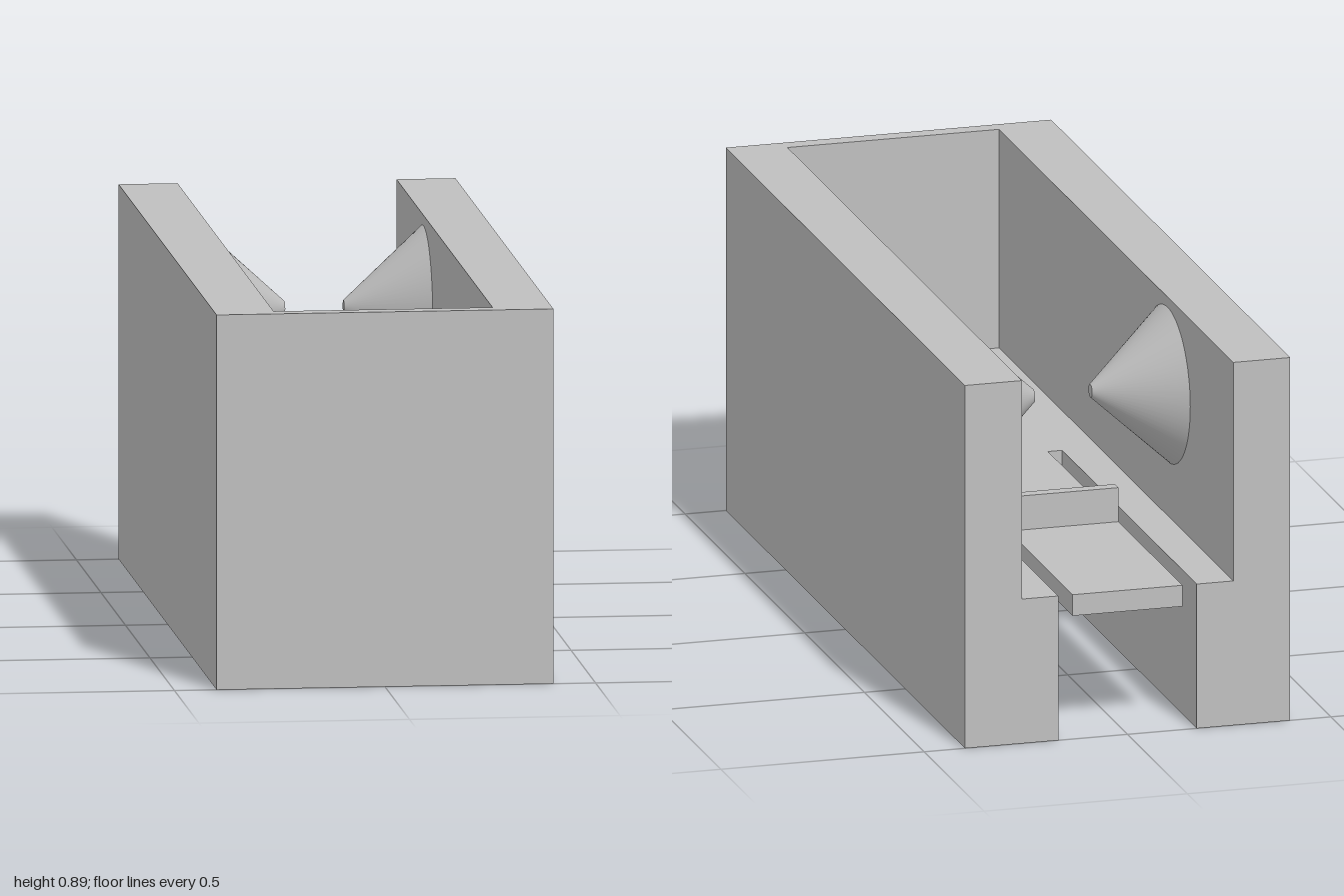
import * as THREE from 'three';

const FLOOR = 0.356, TOP = 0.895, SLOT_END = 0.125;

// U-shaped block, open towards the back, standing from y0 to y1
function uBlock(halfGap, gapEnd, y0, y1) {
  const pts = [
    [-0.4, -1], [0.4, -1], [0.4, 1], [halfGap, 1],
    [halfGap, -gapEnd], [-halfGap, -gapEnd], [-halfGap, 1], [-0.4, 1],
  ].map(([x, y]) => new THREE.Vector2(x, y));
  const geo = new THREE.ExtrudeGeometry(new THREE.Shape(pts), { depth: y1 - y0, bevelEnabled: false });
  return geo.rotateX(-Math.PI / 2).translate(0, y0, 0);
}

export function createModel() {
  const group = new THREE.Group();
  const grey = new THREE.MeshStandardMaterial({ color: 0xbfbfbf });
  grey.name = 'light grey';

  const add = (name, geo) => {
    const mesh = new THREE.Mesh(geo, grey);
    mesh.name = name;
    group.add(mesh);
    return mesh;
  };

  // Thick floor with a slot from the back, and the walls above it
  add('base', uBlock(0.17, SLOT_END, 0, FLOOR));
  add('walls', uBlock(0.26, 0.96, FLOOR, TOP));

  // Springy tongue in the slot, with a ramped catch on top
  const profile = new THREE.Shape([
    [-1, 0.304], [SLOT_END, 0.304], [SLOT_END, FLOOR],
    [-0.37, FLOOR], [-0.435, 0.44], [-0.465, 0.44], [-0.465, FLOOR], [-1, FLOOR],
  ].map(([z, y]) => new THREE.Vector2(z, y)));
  const tongue = new THREE.ExtrudeGeometry(profile, { depth: 0.27, bevelEnabled: false });
  add('latchTongue', tongue.rotateY(-Math.PI / 2).translate(0.135, 0, 0));

  // Pair of blunt cones pointing inwards from the side walls
  for (const side of [1, -1]) {
    const cone = new THREE.CylinderGeometry(0.016, 0.19, 0.19, 64);
    cone.rotateZ(side * Math.PI / 2).translate(side * 0.165, 0.68, -0.45);
    add(side > 0 ? 'leftPivotCone' : 'rightPivotCone', cone);
  }
  return group;
}
